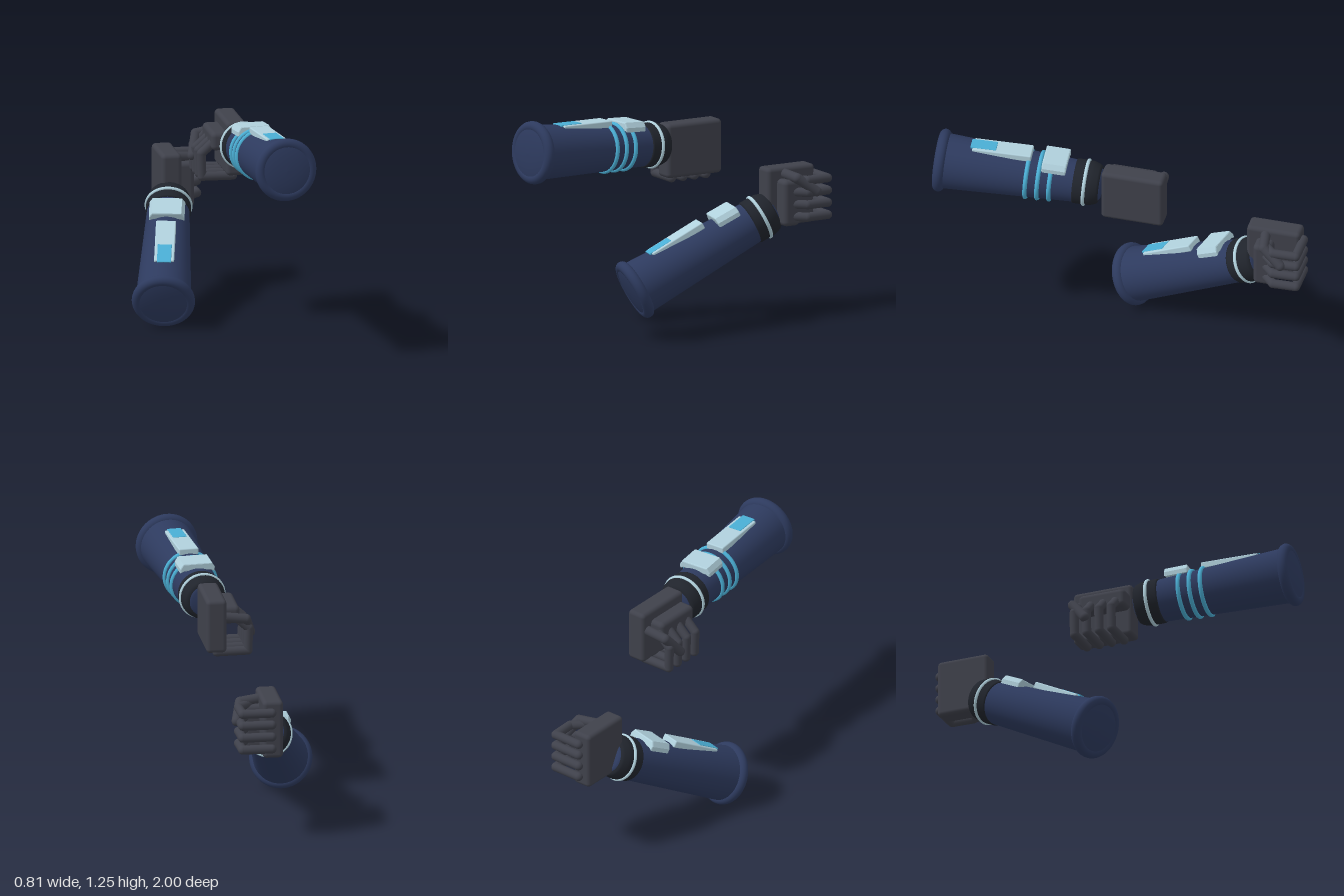
import * as THREE from 'three';
import { RoundedBoxGeometry } from 'three/addons/geometries/RoundedBoxGeometry.js';

const mat = (color) => new THREE.MeshStandardMaterial({ color });
const navy = mat(0x2d3a5e), black = mat(0x20242c), grey = mat(0x3f414b);
const pale = mat(0xb0d0dc), blue = mat(0x4aaed4);
const V = (x, y, z) => new THREE.Vector3(x, y, z);

function add(parent, name, geometry, material, x = 0, y = 0, z = 0) {
  const mesh = new THREE.Mesh(geometry, material);
  mesh.name = name;
  mesh.position.set(x, y, z);
  parent.add(mesh);
  return mesh;
}

// Lathe turned about local z; points are [radius, z], with z rising
function turned(points) {
  const g = new THREE.LatheGeometry(points.map(([r, z]) => new THREE.Vector2(r, z)), 48);
  return g.rotateX(Math.PI / 2);
}

// Chain of capsules through the given points
function digit(parent, name, points, radius) {
  const group = new THREE.Group();
  group.name = name;
  for (let i = 0; i < points.length - 1; i++) {
    const d = points[i + 1].clone().sub(points[i]);
    const seg = add(group, name + 'Segment', new THREE.CapsuleGeometry(radius, d.length(), 8, 16), grey);
    seg.position.copy(points[i]).addScaledVector(d, 0.5);
    seg.quaternion.setFromUnitVectors(V(0, 1, 0), d.normalize());
  }
  parent.add(group);
}

// Forearm: elbow rim at the origin, wrist towards local -z, plates on +y
const sleeveRadius = (s) => 0.15 - 0.049 * s;

function forearm(elbow, wrist, bands) {
  const arm = new THREE.Group();
  arm.name = 'forearm';

  add(arm, 'sleeve', turned([[sleeveRadius(0.74), -0.74], [sleeveRadius(0), 0]]), navy);
  add(arm, 'elbowRim', new THREE.TorusGeometry(0.14, 0.03, 20, 64), navy);
  add(arm, 'elbowCap', turned([[0.145, 0.022], [0.12, 0.029], [0.08, 0.035], [0.04, 0.038], [0, 0.039]]), navy);

  // wrist
  add(arm, 'wristEnd', turned([[0, -0.872], [0.075, -0.87], [0.1, -0.85], [0.1, -0.8]]), navy);
  add(arm, 'cuff', turned([[0.088, -0.862], [0.1, -0.86], [0.108, -0.85], [0.117, -0.825],
    [0.12, -0.81], [0.121, -0.73], [0.117, -0.722], [0.1, -0.72]]), black);
  add(arm, 'cuffRing', new THREE.TorusGeometry(0.119, 0.01, 12, 64), pale, 0, 0, -0.785);

  // glowing bands
  for (const s of bands) {
    add(arm, 'band', new THREE.TorusGeometry(sleeveRadius(s) + 0.001, 0.012, 12, 64), blue, 0, 0, -s);
  }

  // arched plate near the wrist
  const section = new THREE.Shape([[-0.09, 0.1], [-0.09, 0.115], [-0.076, 0.138], [0.076, 0.138],
    [0.09, 0.115], [0.09, 0.1], [0.072, 0.108], [-0.072, 0.108]].map(([x, y]) => new THREE.Vector2(x, y)));
  add(arm, 'wristPlate', new THREE.ExtrudeGeometry(section,
    { depth: 0.118, bevelSize: 0.006, bevelThickness: 0.007, bevelSegments: 2 }), pale, 0, 0, -0.673);

  // long plate and its inset tile follow the sleeve taper
  const panel = new THREE.Group();
  panel.name = 'longPanel';
  panel.position.set(0, 0.13, -0.323);
  panel.rotation.x = 0.035;
  add(panel, 'longPlate', new RoundedBoxGeometry(0.108, 0.038, 0.32, 3, 0.007), pale);
  add(panel, 'tile', new RoundedBoxGeometry(0.076, 0.036, 0.14, 2, 0.003), blue, 0, 0.004, 0.102);
  arm.add(panel);

  arm.position.copy(elbow);
  arm.lookAt(elbow.clone().multiplyScalar(2).sub(wrist));
  return arm;
}

// Curled hand: fingers hang towards -y, palm faces side * x, thumb towards -z
function hand(side, thick, across) {
  const group = new THREE.Group();
  group.name = 'hand';
  const p = (u, v, w) => V(side * v * thick, -u, -w * across);

  add(group, 'handBack', new RoundedBoxGeometry(0.11, 0.295, 0.343 * across, 4, 0.022), grey);
  add(group, 'palmPad', new RoundedBoxGeometry(0.12, 0.1, 0.27 * across, 4, 0.025), grey,
    side * 0.075, 0.042, 0.028 * across);
  for (let i = 0; i < 4; i++) {
    const w = -0.109 + i * 0.072;
    digit(group, 'finger', [p(0.158, 0.01, w), p(0.156, 0.178, w), p(0.03, 0.182, w), p(-0.03, 0.115, w)], 0.0245);
  }
  digit(group, 'thumb', [p(-0.045, 0.03, 0.135), p(-0.025, 0.165, 0.122), p(0.075, 0.2, 0.04)], 0.027);
  return group;
}

export function createModel() {
  const model = new THREE.Group();
  model.name = 'armPair';

  // left arm, held level
  const leftArm = new THREE.Group();
  leftArm.name = 'leftArm';
  const leftHand = hand(-1, 1, 1);
  leftHand.position.set(0.146, 0.993, -0.086);
  leftArm.add(forearm(V(0.235, 1.088, 0.955), V(0.16, 1.037, 0.175), [0.471, 0.535, 0.599]), leftHand);

  // right arm, raised forward
  const rightArm = new THREE.Group();
  rightArm.name = 'rightArm';
  const rightHand = hand(1, 0.94, 0.93);
  rightHand.position.set(-0.053, 0.627, -0.817);
  rightHand.rotation.x = Math.PI / 2;
  rightArm.add(forearm(V(-0.242, 0.16, 0.02), V(-0.078, 0.503, -0.645), []), rightHand);

  model.add(leftArm, rightArm);
  return model;
}
